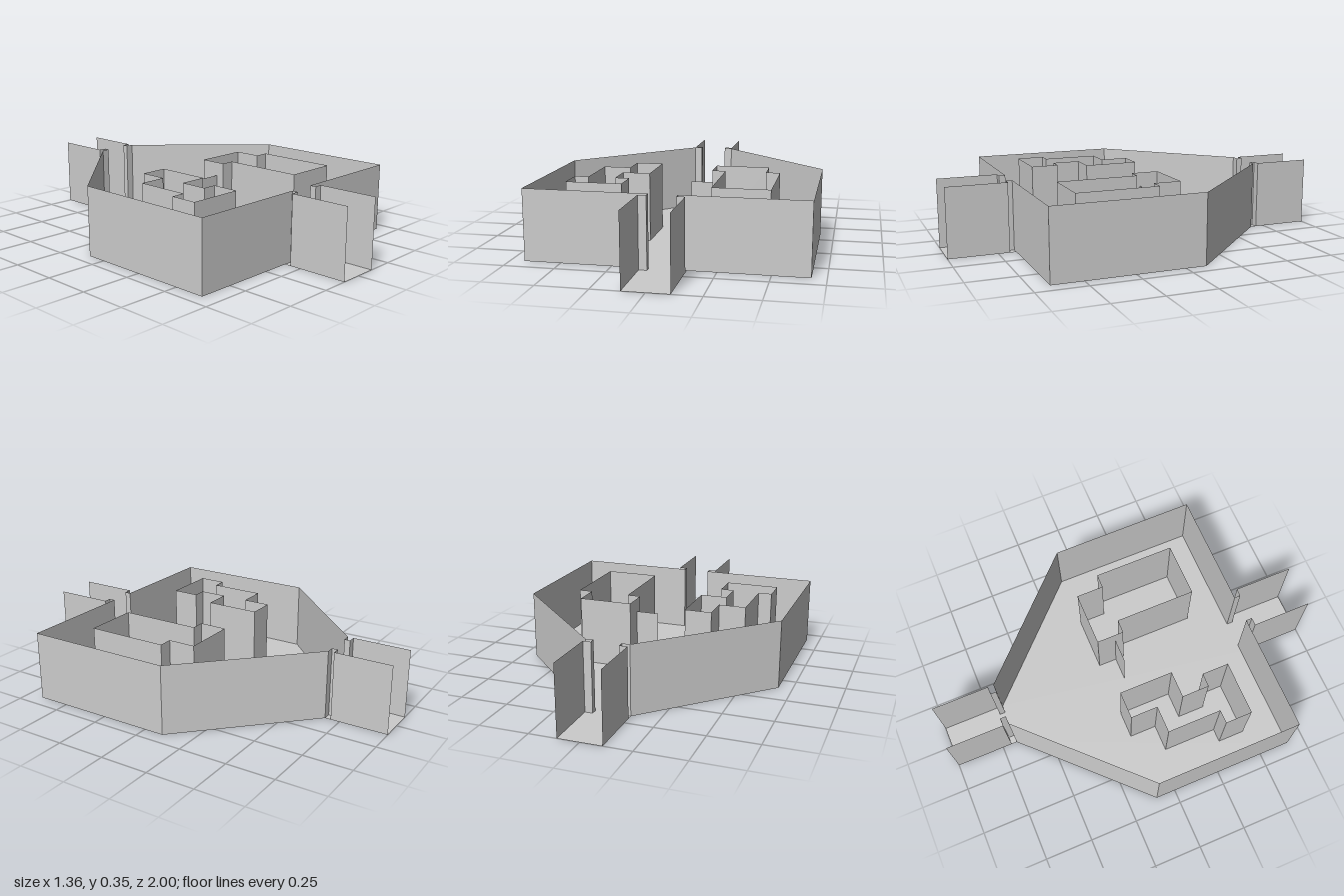
import * as THREE from 'three';

const H = 0.355; // wall height
const material = new THREE.MeshStandardMaterial({ color: 0xcccccc, flatShading: true, side: THREE.DoubleSide });

// Thin upright sheet following a path of [x, z] points
function sheetWall(name, path, height, closed = false) {
  const pos = [];
  const count = closed ? path.length : path.length - 1;
  for (let i = 0; i < count; i++) {
    const [ax, az] = path[i];
    const [bx, bz] = path[(i + 1) % path.length];
    pos.push(ax, 0, az, bx, 0, bz, bx, height, bz);
    pos.push(ax, 0, az, bx, height, bz, ax, height, az);
  }
  const geo = new THREE.BufferGeometry();
  geo.setAttribute('position', new THREE.Float32BufferAttribute(pos, 3));
  geo.computeVertexNormals();
  const mesh = new THREE.Mesh(geo, material);
  mesh.name = name;
  return mesh;
}

const mirror = (path) => path.map(([x, z]) => [-x, z]);

export function createModel() {
  const group = new THREE.Group();
  group.name = 'walledArena';

  // Floor: house-shaped room with a corridor at each end
  const half = [[0.11, 1], [0.11, 0.66], [0.68, 0.66], [0.68, -0.103], [0.11, -0.673], [0.11, -1]];
  const outline = [...half, ...mirror(half).reverse()];
  const shape = new THREE.Shape(outline.map(([x, z]) => new THREE.Vector2(x, -z)));
  const floor = new THREE.Mesh(new THREE.ShapeGeometry(shape).rotateX(-Math.PI / 2), material);
  floor.name = 'floor';
  group.add(floor);

  // Outer wall: corridor, door jamb, room side, door jamb, corridor
  const side = [
    [0.11, 1], [0.11, 0.692], [0.07, 0.692], [0.07, 0.66], [0.68, 0.66], [0.68, -0.103],
    [0.11, -0.673], [0.07, -0.673], [0.07, -0.703], [0.11, -0.703], [0.11, -1],
  ];
  group.add(sheetWall('leftOuterWall', side, H));
  group.add(sheetWall('rightOuterWall', mirror(side), H));

  // Stepped enclosures inside the room, open at the top
  group.add(sheetWall('leftEnclosure', [
    [0.19, 0.468], [0.19, 0.045], [0.12, 0.045], [0.12, -0.097],
    [0.4, -0.097], [0.4, 0.045], [0.472, 0.045], [0.472, 0.468],
  ], H, true));
  group.add(sheetWall('rightEnclosure', [
    [-0.53, 0.468], [-0.53, 0.328], [-0.46, 0.328], [-0.46, 0.045], [-0.32, 0.045], [-0.32, -0.097],
    [-0.18, -0.097], [-0.18, 0.185], [-0.32, 0.185], [-0.32, 0.328], [-0.25, 0.328], [-0.25, 0.468],
  ], H, true));

  // Low free-standing panel in the middle
  group.add(sheetWall('centrePanel', [[0, 0], [0.14, 0]], 0.284));

  return group;
}
